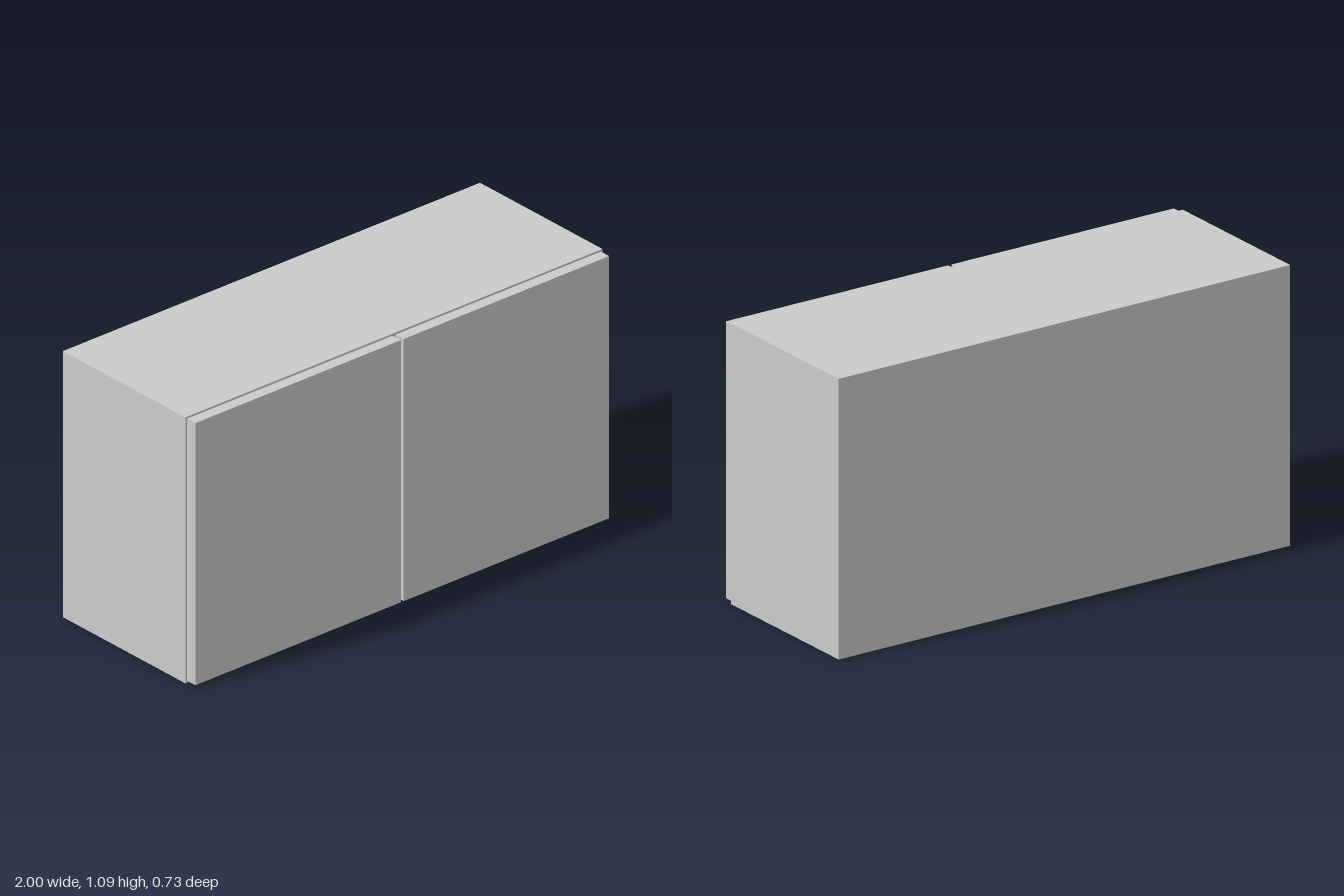
import * as THREE from 'three';

const H = 1.092, T = 0.045;             // cabinet height, board thickness
const BACK = -0.363, FRONT = 0.317;     // carcass depth range
const DOOR_FRONT = 0.363, GAP = 0.008;  // door face, reveal around doors

export function createModel() {
  const cabinet = new THREE.Group();
  cabinet.name = 'wallCabinet';
  const material = new THREE.MeshStandardMaterial({ color: 0xcccccc });

  // A board spanning the given ranges on x, y and z
  function board(name, [x0, x1], [y0, y1], [z0, z1]) {
    const mesh = new THREE.Mesh(new THREE.BoxGeometry(x1 - x0, y1 - y0, z1 - z0), material);
    mesh.position.set((x0 + x1) / 2, (y0 + y1) / 2, (z0 + z1) / 2);
    mesh.name = name;
    cabinet.add(mesh);
  }

  // Side panels and doors, mirrored
  for (const [side, s] of [['left', 1], ['right', -1]]) {
    const span = (a, b) => (s > 0 ? [a, b] : [-b, -a]);
    board(`${side}SidePanel`, span(1 - T, 1), [0, H], [BACK, FRONT]);
    board(`${side}Door`, span(0.007, 1 - GAP), [GAP, H - GAP], [FRONT, DOOR_FRONT]);
  }

  // Boards fitted between the sides
  const inner = [-1 + T, 1 - T];
  board('bottomPanel', inner, [0, T], [BACK, FRONT]);
  board('topPanel', inner, [H - T, H], [BACK, FRONT]);
  board('shelf', inner, [(H - T) / 2, (H + T) / 2], [BACK + T, FRONT]);
  board('backPanel', inner, [T, H - T], [BACK, BACK + T]);

  return cabinet;
}
